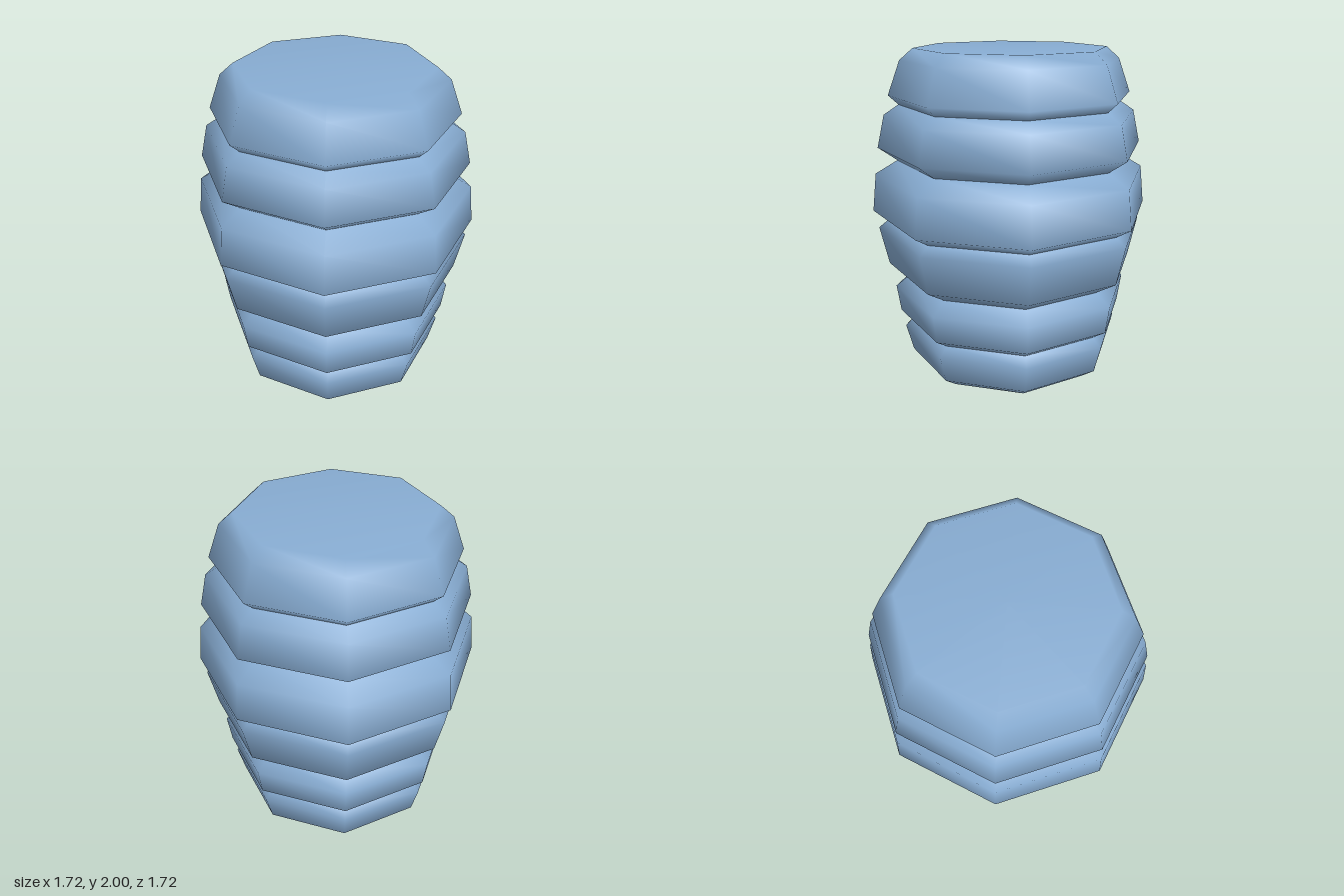
import * as THREE from 'three';

// Eight-sided stack of bulging bands: [radius, height] from the foot to the top
const bands = [
  { name: 'bottomBand', profile: [[0, 0], [0.56, 0], [0.645, 0.06], [0.69, 0.23], [0.63, 0.285]] },
  { name: 'secondBand', profile: [[0.63, 0.285], [0.715, 0.34], [0.74, 0.51], [0.645, 0.585]] },
  { name: 'thirdBand', profile: [[0.645, 0.585], [0.775, 0.665], [0.83, 0.905], [0.765, 0.958]] },
  { name: 'widestBand', profile: [[0.765, 0.958], [0.86, 1.015], [0.835, 1.25], [0.7, 1.33]] },
  { name: 'fifthBand', profile: [[0.7, 1.33], [0.815, 1.41], [0.77, 1.61], [0.68, 1.67]] },
  { name: 'topBand', profile: [[0.68, 1.67], [0.74, 1.725], [0.665, 1.93], [0.585, 2], [0, 2]] },
];

export function createModel() {
  const group = new THREE.Group();
  group.name = 'bandedBarrel';
  const blue = new THREE.MeshStandardMaterial({ color: 0x88add3 });
  blue.name = 'soft blue';

  // Each band is its own smooth lathe, so the grooves between bands stay sharp
  for (const { name, profile } of bands) {
    const points = profile.map(([r, y]) => new THREE.Vector2(r, y));
    const mesh = new THREE.Mesh(new THREE.LatheGeometry(points, 8), blue);
    mesh.name = name;
    group.add(mesh);
  }
  return group;
}
